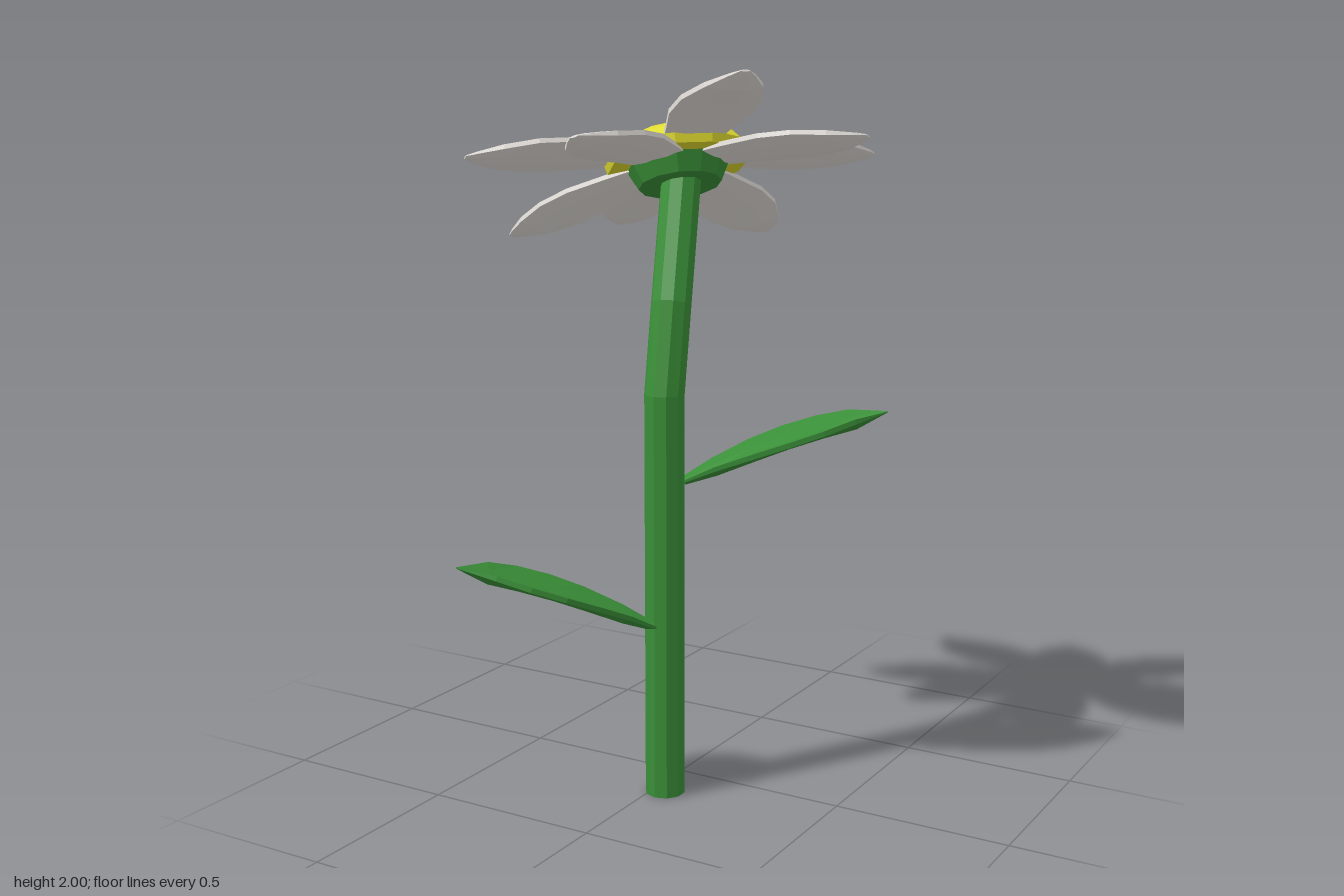
import * as THREE from 'three';

const paint = (color, side = THREE.FrontSide) =>
  new THREE.MeshStandardMaterial({ color, flatShading: true, side });

function part(name, geometry, material) {
  const mesh = new THREE.Mesh(geometry, material);
  mesh.name = name;
  return mesh;
}

// Skins closed rings of equal size; the rings are lists of [x, y, z].
function loft(rings) {
  const n = rings[0].length, index = [];
  for (let i = 0; i < rings.length - 1; i++) {
    for (let j = 0; j < n; j++) {
      const k = (j + 1) % n;
      const a = i * n + j, b = i * n + k, c = a + n, d = b + n;
      index.push(a, b, c, b, d, c);
    }
  }
  const last = (rings.length - 1) * n;
  for (let j = 1; j < n - 1; j++) {
    index.push(0, j, j + 1, last, last + j + 1, last + j);
  }
  const geometry = new THREE.BufferGeometry();
  geometry.setAttribute('position', new THREE.Float32BufferAttribute(rings.flat(2), 3));
  geometry.setIndex(index);
  geometry.computeVertexNormals();
  return geometry;
}

// A blade along +x: outline is [distance, half width], section is [y, share of half width].
function blade(outline, section, heightAt = () => 0) {
  return loft(outline.map(([x, w]) => {
    const slim = Math.min(1, w / 0.07);
    return section.map(([y, s]) => [x, heightAt(x) + y * slim, s * w]);
  }));
}

// A round stalk with level rings, bending through the points.
function stalk(points, radius, sides) {
  return loft(points.map((p, i) => {
    const before = new THREE.Vector3(...points[Math.max(i - 1, 0)]);
    const after = new THREE.Vector3(...points[Math.min(i + 1, points.length - 1)]);
    const turn = new THREE.Quaternion().setFromUnitVectors(
      new THREE.Vector3(0, 1, 0), after.sub(before).normalize());
    return Array.from({ length: sides }, (_, j) => {
      const t = -((j + 0.5) / sides) * Math.PI * 2;
      return new THREE.Vector3(radius * Math.cos(t), 0, radius * Math.sin(t))
        .applyQuaternion(i === 0 ? new THREE.Quaternion() : turn)
        .add(new THREE.Vector3(...p)).toArray();
    });
  }));
}

export function createModel() {
  const model = new THREE.Group();
  model.name = 'flower';
  const green = paint(0x3a8f38, THREE.DoubleSide);
  const white = paint(0xe6e1dc, THREE.DoubleSide);
  const yellow = paint(0xe0dc30);

  // Stem, leaning back near the top
  model.add(part('stem', stalk([
    [0.035, 0, 0.15], [0.035, 1.14, 0.15], [0.03, 1.38, 0.105], [-0.025, 1.73, -0.045],
  ], 0.056, 10), green));

  // Two slightly folded leaves
  const leafGeometry = blade(
    [[0, 0.03], [0.09, 0.062], [0.2, 0.102], [0.3, 0.12], [0.4, 0.112], [0.49, 0.074], [0.585, 0.004]],
    [[0.018, -1], [0.006, -0.4], [-0.006, 0], [0.006, 0.4], [0.018, 1],
      [0.004, 1], [-0.026, 0], [0.004, -1]],
    (x) => 0.03 * Math.sin((x / 0.585) * Math.PI) * 0.5);
  const leaves = [
    ['upperLeaf', [0.08, 0.9, 0.12], -32, 0.33],
    ['lowerLeaf', [0.02, 0.49, 0.18], 133.7, 0.37],
  ];
  for (const [name, position, heading, pitch] of leaves) {
    const leaf = part(name, leafGeometry, green);
    leaf.position.set(...position);
    leaf.rotation.set(0, -THREE.MathUtils.degToRad(heading), pitch);
    model.add(leaf);
  }

  // Flower head, tilted as one piece
  const head = new THREE.Group();
  head.name = 'flowerHead';
  head.position.set(-0.047, 1.757, -0.057);
  head.quaternion.setFromUnitVectors(
    new THREE.Vector3(0, 1, 0), new THREE.Vector3(-0.31, 1, -0.285).normalize());
  model.add(head);

  // Eight petals: the diagonal ones lie flat on top, the others droop below
  const outline = [[0.08, 0.07], [0.2, 0.09], [0.31, 0.113], [0.41, 0.11],
    [0.5, 0.078], [0.565, 0.035], [0.59, 0.012]];
  const section = [[0, -1], [0.01, -0.4], [0.01, 0.4], [0, 1],
    [-0.013, 1], [-0.02, 0.4], [-0.02, -0.4], [-0.013, -1]];
  const flatPetal = blade(outline, section, (x) => 0.012 + 0.012 * Math.sin((x / 0.59) * Math.PI));
  const droopPetal = blade(outline.map(([x, w]) => [x * 0.945, w]), section,
    (x) => -0.002 - 0.08 * (x / 0.56) ** 1.4);
  for (let i = 0; i < 8; i++) {
    const petal = part('petal', i % 2 ? flatPetal : droopPetal, white);
    petal.rotation.y = -THREE.MathUtils.degToRad(i * 45 - 3.5);
    head.add(petal);
  }

  // Faceted yellow centre
  const dome = [[0, -0.02], [0.195, -0.02], [0.203, 0.008], [0.178, 0.038], [0.118, 0.068], [0, 0.068]];
  head.add(part('centre', new THREE.LatheGeometry(
    dome.map(([r, y]) => new THREE.Vector2(r, y)), 12), yellow));

  // Green cup joining the petals to the stem
  const cup = part('cup', new THREE.CylinderGeometry(0.145, 0.115, 0.06, 12), green);
  cup.position.y = -0.043;
  head.add(cup);

  return model;
}
